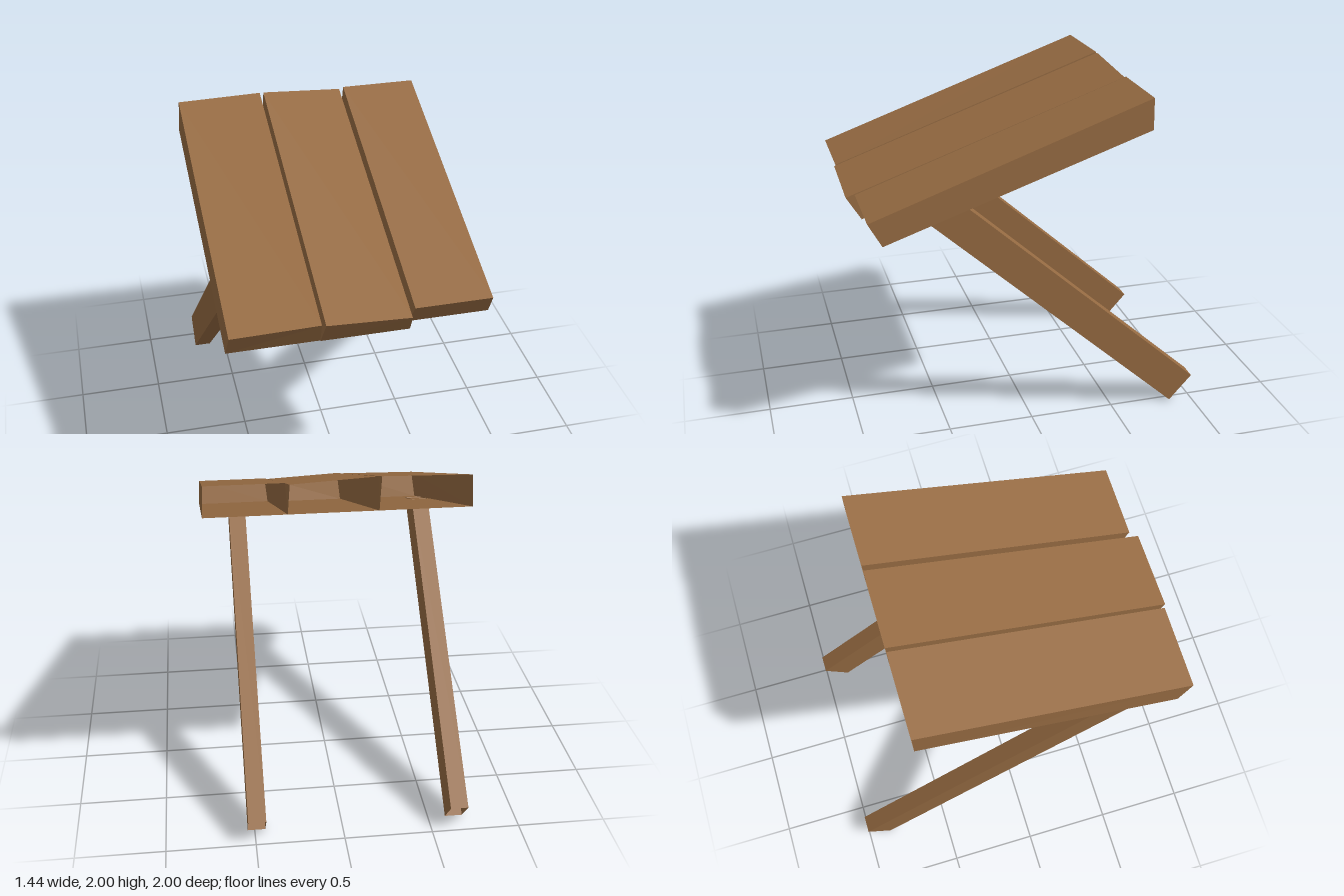
import * as THREE from 'three';

const wood = new THREE.MeshStandardMaterial({ color: 0x966b42, flatShading: true, side: THREE.DoubleSide });
wood.name = 'brown wood';

// Tapered hollow board between two four-corner rings, closed at the second one if asked.
// Each ring runs: top left, top right, bottom right, bottom left (in x).
function board(name, start, end, capEnd) {
  const pos = [];
  const quad = (a, b, c, d) => pos.push(...a, ...b, ...c, ...a, ...c, ...d);
  for (let i = 0; i < 4; i++) {
    const j = (i + 1) % 4;
    quad(start[i], end[i], end[j], start[j]);
  }
  if (capEnd) quad(end[3], end[2], end[1], end[0]);
  const geometry = new THREE.BufferGeometry();
  geometry.setAttribute('position', new THREE.Float32BufferAttribute(pos, 3));
  geometry.computeVertexNormals();
  const mesh = new THREE.Mesh(geometry, wood);
  mesh.name = name;
  return mesh;
}

export function createModel() {
  const group = new THREE.Group();
  group.name = 'slantedPlankStand';

  // Sloping planks: x pairs and y pairs for each edge, open at the back
  const planks = [
    { name: 'rightPlank', backX: [-0.712, -0.232], backY: [1.99, 2], backLowX: [-0.722, -0.222],
      frontX: [-0.7, -0.22], frontY: [1.433, 1.442], lowX: [-0.712, -0.212], z: [0.99, 0.915], lowY: 1.29 },
    { name: 'middlePlank', backX: [-0.21, 0.25], backY: [2, 1.975], backLowX: [-0.222, 0.262],
      frontX: [-0.2, 0.258], frontY: [1.442, 1.42], lowX: [-0.212, 0.272], z: [1, 0.92], lowY: 1.29 },
    { name: 'leftPlank', backX: [0.275, 0.7], backY: [1.985, 1.985], backLowX: [0.262, 0.708],
      frontX: [0.285, 0.71], frontY: [1.442, 1.442], lowX: [0.272, 0.718], z: [0.953, 0.88], lowY: 1.31 },
  ];
  for (const p of planks) {
    const back = [
      [p.backX[0], p.backY[0], -0.6], [p.backX[1], p.backY[1], -0.6],
      [p.backLowX[1], 1.81, -0.6], [p.backLowX[0], 1.81, -0.6],
    ];
    const front = [
      [p.frontX[0], p.frontY[0], p.z[0]], [p.frontX[1], p.frontY[1], p.z[0]],
      [p.lowX[1], p.lowY, p.z[1]], [p.lowX[0], p.lowY, p.z[1]],
    ];
    group.add(board(p.name, back, front, true));
  }

  // Slanted legs, open at the foot
  for (const [name, x] of [['rightLeg', -0.7], ['leftLeg', 0.44]]) {
    const ring = (y1, z1, y2, z2) => [[x, y1, z1], [x + 0.1, y1, z1], [x + 0.1, y2, z2], [x, y2, z2]];
    group.add(board(name, ring(0.15, -1, 0, -0.865), ring(1.455, 0.44, 1.385, 0.655), false));
  }
  return group;
}
